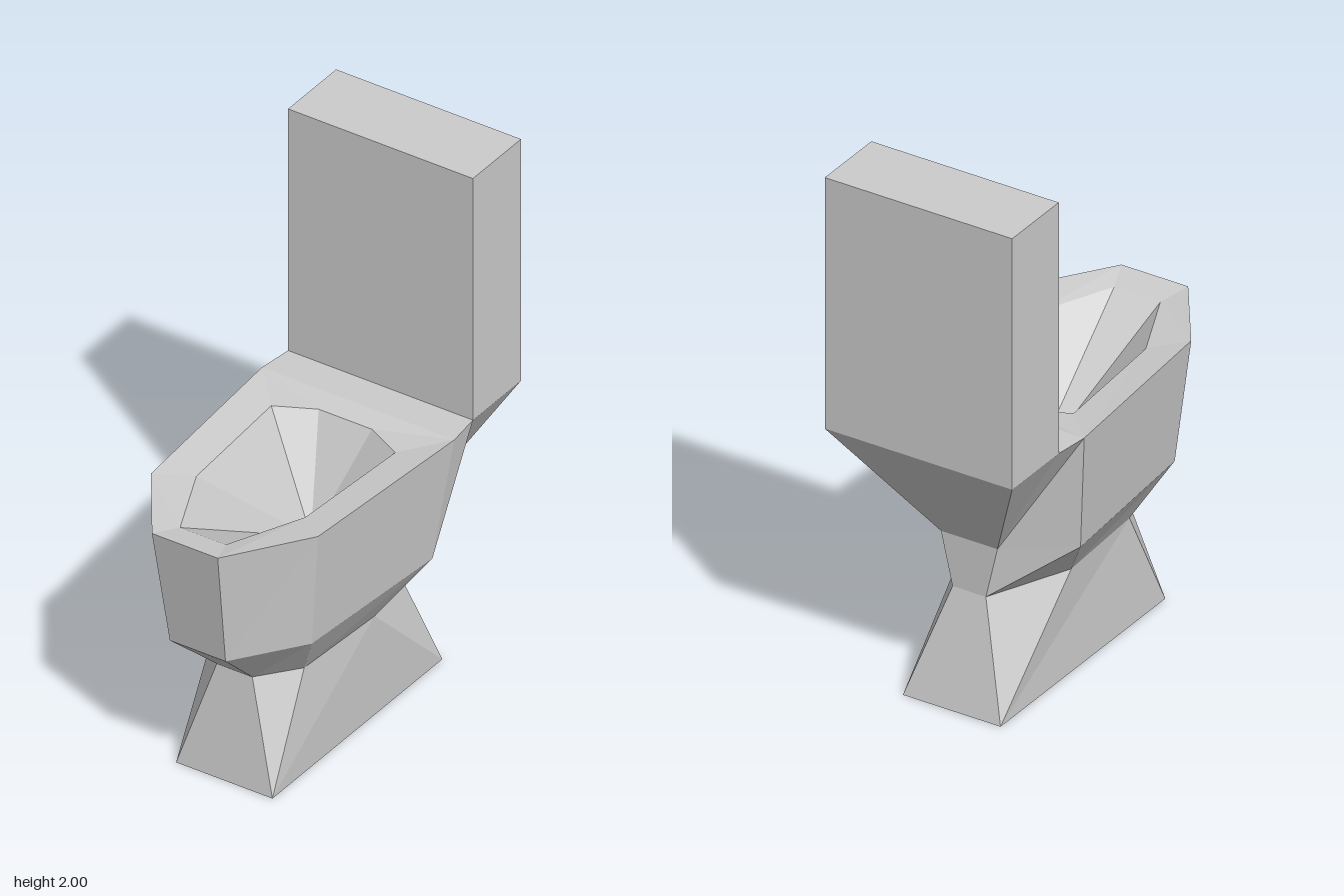
import * as THREE from 'three';

const material = new THREE.MeshStandardMaterial({ color: 0xcccccc, flatShading: true });

// Full ring at height y from [x, z] points of the +x half, listed front to back.
function ring(y, half) {
  const right = half.map(([x, z]) => new THREE.Vector3(x, y, z));
  const left = half.map(([x, z]) => new THREE.Vector3(-x, y, z)).reverse();
  return [...right, ...left];
}

// Flat-shaded mesh from polygons (fans), dropping collapsed triangles.
function polyMesh(name, polygons) {
  const points = [];
  for (const p of polygons) {
    for (let i = 1; i < p.length - 1; i++) {
      const tri = new THREE.Triangle(p[0], p[i], p[i + 1]);
      if (tri.getArea() > 1e-7) points.push(tri.a, tri.b, tri.c);
    }
  }
  const geometry = new THREE.BufferGeometry().setFromPoints(points);
  geometry.computeVertexNormals();
  const mesh = new THREE.Mesh(geometry, material);
  mesh.name = name;
  return mesh;
}

// Quads between consecutive rings; the segment numbered "open" is left out.
function loft(rings, open = -1) {
  const quads = [];
  for (let r = 0; r < rings.length - 1; r++) {
    const a = rings[r], b = rings[r + 1];
    a.forEach((p, i) => {
      const j = (i + 1) % a.length;
      if (i !== open) quads.push([p, a[j], b[j], b[i]]);
    });
  }
  return quads;
}

export function createModel() {
  const group = new THREE.Group();
  group.name = 'toilet';

  // Cross-sections of the body, from the floor up
  const foot = ring(0, [[0.19, 0.48], [0.19, 0.48], [0.19, -0.51], [0.19, -0.51]]);
  const waist = ring(0.4, [[0.07, 0.42], [0.18, 0.28], [0.2, -0.1], [0.065, -0.405]]);
  const belly = ring(0.595, [[0.11, 0.635], [0.285, 0.39], [0.33, -0.245], [0.11, -0.405]]);
  const rim = ring(1.05, [[0.13, 0.71], [0.33, 0.42], [0.38, -0.3], [0.365, -0.43]]);

  // Pedestal with its floor face
  group.add(polyMesh('pedestal', [...loft([foot, waist]), [...foot].reverse()]));

  // Bowl: lower flare closed all round, upper wall open where the tank support joins
  group.add(polyMesh('bowl', [...loft([waist, belly]), ...loft([belly, rim], 3)]));

  // Rim sloping slightly in to the opening, and the flat deck before the tank
  const rimEdge = ring(1.05, [[0.13, 0.71], [0.33, 0.42], [0.38, -0.3], [0.38, -0.3]]);
  const opening = ring(1.03, [[0.09, 0.605], [0.215, 0.325], [0.245, -0.155], [0.105, -0.225]]);
  group.add(polyMesh('rim', [...loft([rimEdge, opening]), rim.slice(2, 6)]));

  // Basin: facets running down to a single low point
  const drain = ring(0.68, Array(4).fill([0, -0.025]));
  group.add(polyMesh('basin', loft([opening, drain])));

  // Sloping support from the narrow back of the bowl out to the tank
  const neck = ring(0.595, [[0.11, -0.405], [0.11, -0.405]]);
  const tankOutline = [[0.365, -0.43], [0.365, -0.71]];
  const tankBottom = ring(1.05, tankOutline);
  const tankTop = ring(2, tankOutline);
  group.add(polyMesh('tankSupport', loft([neck, tankBottom], 3)));

  // Tank
  group.add(polyMesh('tank', [...loft([tankBottom, tankTop]), tankTop]));

  return group;
}
